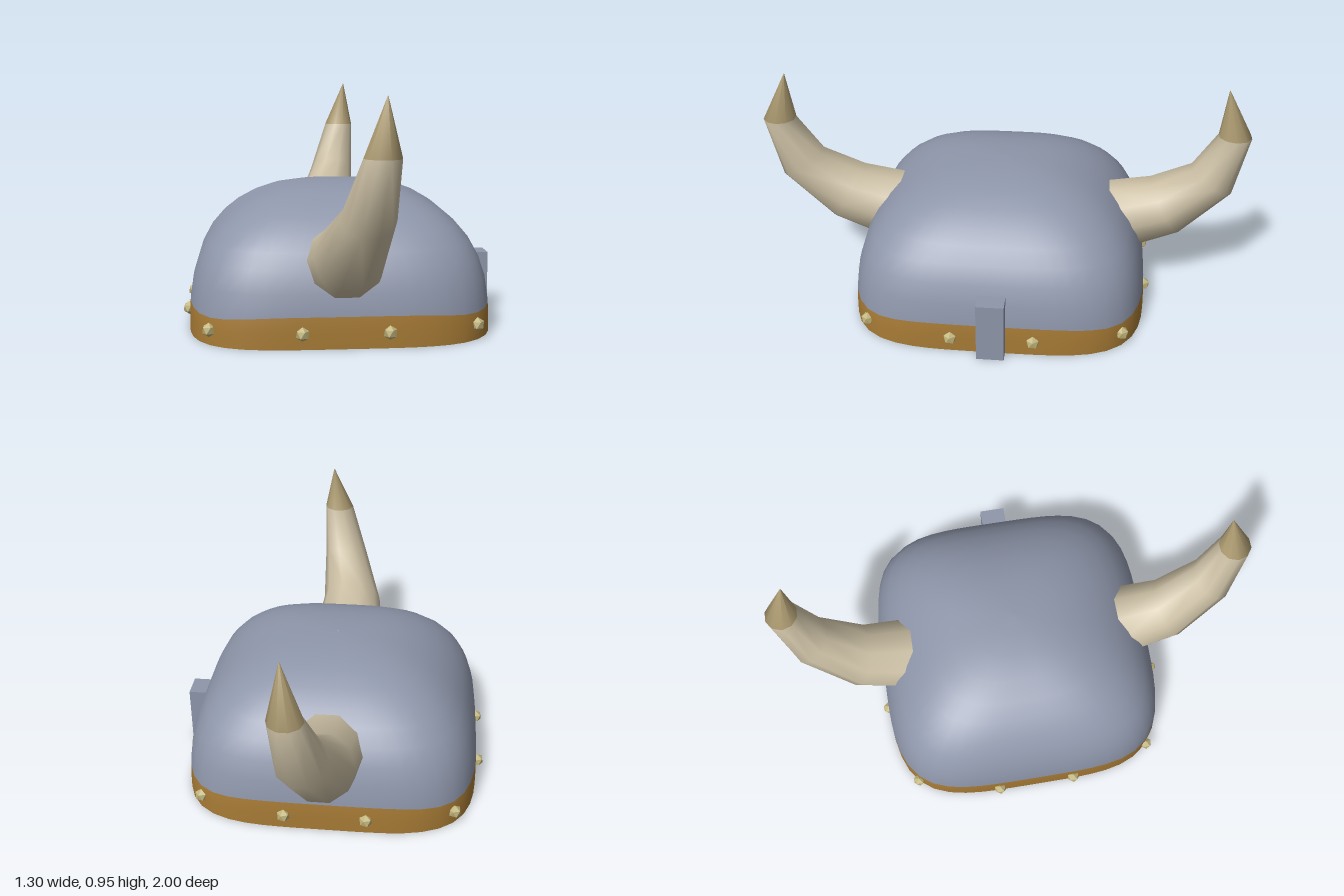
import * as THREE from 'three';

const mat = (name, color) => Object.assign(new THREE.MeshStandardMaterial({ color }), { name });

// Joins closed rings of points into a smooth skin; bands = [rows, materialIndex] pairs
function loft(rings, flip, bands) {
  const n = rings[0].length, pos = rings.flat(2), idx = [];
  for (let j = 0; j < rings.length - 1; j++) {
    for (let i = 0; i < n; i++) {
      const a = j * n + i, b = j * n + (i + 1) % n, c = a + n, d = b + n;
      idx.push(...(flip ? [a, c, b, b, c, d] : [a, b, c, b, d, c]));
    }
  }
  const g = new THREE.BufferGeometry();
  g.setAttribute('position', new THREE.Float32BufferAttribute(pos, 3));
  g.setIndex(idx);
  g.computeVertexNormals();
  let start = 0;
  for (const [rows, m] of bands) {
    g.addGroup(start, rows * n * 6, m);
    start += rows * n * 6;
  }
  return g;
}

// Rounded-square ring of half-width r at height y; e sets how square it is, dip lowers the corners
const CX = -0.01;
function squareRing([r, y, e, dip = 0], n = 64) {
  return Array.from({ length: n }, (_, i) => {
    const t = (i / n) * Math.PI * 2, c = Math.cos(t), s = Math.sin(t);
    const k = r / Math.pow(Math.abs(c) ** e + Math.abs(s) ** e, 1 / e);
    return [CX + k * c, y - dip * Math.sin(2 * t) ** 8, k * s];
  });
}

// Ten-sided horn ring, tilted about x
function hornRing([x, y, z, r, tilt], s) {
  const a = THREE.MathUtils.degToRad(tilt);
  return Array.from({ length: 10 }, (_, i) => {
    const t = (i / 10) * Math.PI * 2, u = Math.cos(t) * r, v = Math.sin(t) * r;
    return [x + u, y + v * Math.cos(a), s * (z - v * Math.sin(a))];
  });
}

export function createModel() {
  const steel = mat('steel', 0x8e96aa);
  const leather = mat('leather', 0xa67a35);
  const horn = mat('horn', 0xcabea3);
  const hornTip = mat('hornTip', 0xae9c72);
  const brass = mat('brass', 0xc0b47c);
  const dark = mat('darkInside', 0x18042e);

  const model = new THREE.Group();
  const add = (name, geo, material) => {
    const m = new THREE.Mesh(geo, material);
    m.name = name;
    model.add(m);
    return m;
  };

  // Dome with the leather band around its foot: [half-width, height, squareness, corner dip]
  const profile = [
    [0.612, 0, 4.1], [0.611, 0.06, 4.1], [0.608, 0.123, 4.1, 0.017], [0.595, 0.21, 4.1], [0.57, 0.29, 4],
    [0.535, 0.355, 4], [0.485, 0.415, 3.9], [0.425, 0.465, 3.8], [0.355, 0.507, 3.6],
    [0.27, 0.541, 3.2], [0.18, 0.56, 2.7], [0.09, 0.568, 2.3], [0.001, 0.57, 2],
  ];
  const domeGeo = loft(profile.map(p => squareRing(p)), true, [[2, 0], [10, 1]]);
  add('domeAndBand', domeGeo, [leather, steel]);

  // Dark underside
  const rim = squareRing(profile[0]).map(p => new THREE.Vector2(p[0], p[2]));
  add('underside', new THREE.ShapeGeometry(new THREE.Shape(rim)).rotateX(Math.PI / 2), dark);

  // Nose guard
  add('noseGuard', new THREE.BoxGeometry(0.083, 0.252, 0.11), steel).position.set(0.606, 0.126, 0);

  // Horns with darker tips: [x, y, z, radius, tilt]
  const path = [
    [-0.01, 0.315, 0.51, 0.153, 26], [-0.008, 0.367, 0.685, 0.136, 30],
    [0.037, 0.528, 0.865, 0.102, 58], [0.079, 0.748, 0.935, 0.067, 90],
    [0.1, 0.955, 0.89, 0.001, 90],
  ];
  for (const s of [1, -1]) {
    const geo = loft(path.map(p => hornRing(p, s)), s < 0, [[3, 0], [1, 1]]);
    add(s > 0 ? 'frontHorn' : 'backHorn', geo, [horn, hornTip]);
  }

  // Rivets: two per side and one on each corner, each with a corner pointing up
  const rivet = new THREE.IcosahedronGeometry(0.028, 0).rotateZ(-0.5536);
  for (const a of [1, -1]) {
    for (const b of [1, -1]) {
      for (const [x, z] of [[0.165, 0.61], [0.517, 0.517], [0.612, 0.165]]) {
        add('rivet', rivet, brass).position.set(CX - 0.003 + a * x, 0.06, b * z);
      }
    }
  }
  return model;
}
